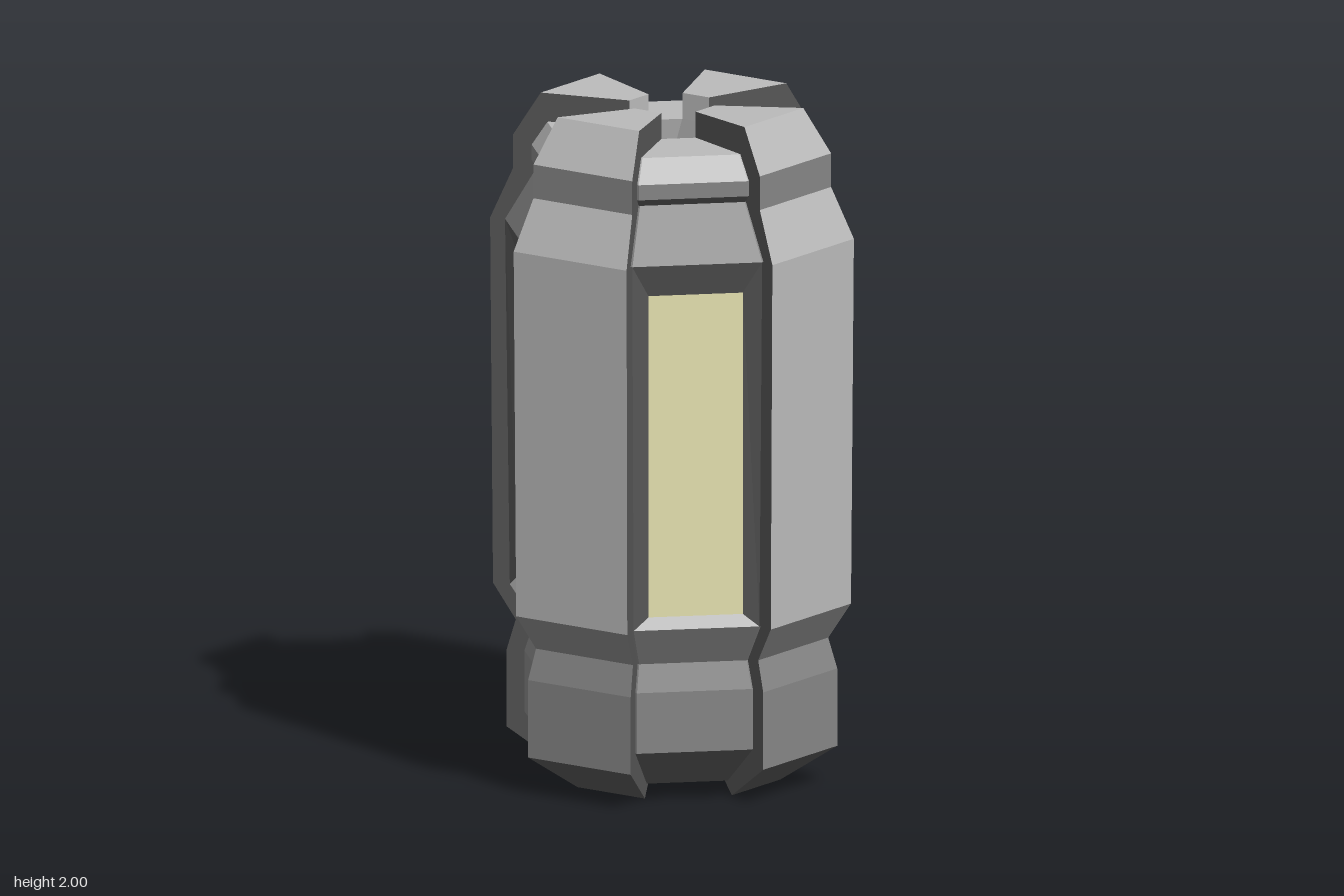
import * as THREE from 'three';

const paint = (color, side = THREE.FrontSide) =>
  new THREE.MeshStandardMaterial({ color, side, flatShading: true });
const light = paint(0xba_ba_ba), mid = paint(0x868686), dark = paint(0x565656);
const darkThin = paint(0x565656, THREE.DoubleSide);
const yellow = paint(0xe6e2b0), red = paint(0xc84a28);
const toCorner = 1 / Math.cos(Math.PI / 8); // face distance to corner radius
const spread = 0.4; // rib half-width per unit of distance from the axis

function addMesh(parent, name, geometry, material) {
  const mesh = new THREE.Mesh(geometry, material);
  mesh.name = name;
  parent.add(mesh);
}

// Eight-sided turned part; profile points are [face distance, y], bottom to top
function addOctagon(parent, name, material, profile) {
  const points = profile.map(([a, y]) => new THREE.Vector2(a * toCorner, y));
  addMesh(parent, name, new THREE.LatheGeometry(points, 8, Math.PI / 8), material);
}

// Flat four-cornered panel, corners counter-clockwise as seen from outside
function addPanel(parent, name, material, [a, b, c, d]) {
  const geometry = new THREE.BufferGeometry();
  geometry.setAttribute('position',
    new THREE.Float32BufferAttribute([a, b, c, a, c, d].flat(), 3));
  geometry.computeVertexNormals();
  addMesh(parent, name, geometry, material);
}

// Raised rib: one panel per profile step [r, y, name, material], plus two side walls
function createRib() {
  const rib = new THREE.Group();
  const profile = [
    [0.26, 0.04],
    [0.3, 0, 'footTip', dark],
    [0.457, 0.11, 'foot', dark],
    [0.457, 0.34, 'lowerPanel', mid],
    [0.432, 0.43, 'lowerBevel', mid],
    [0.495, 0.535, 'waist', mid],
    [0.503, 1.62, 'mainPanel', light],
    [0.44, 1.77, 'shoulder', light],
    [0.44, 1.87, 'collar', mid],
    [0.363, 2, 'upperBevel', light],
    [0.118, 1.992, 'top', light],
    [0.118, 1.905, 'innerEnd', light],
  ];
  for (let i = 1; i < profile.length; i++) {
    const [r0, y0] = profile[i - 1];
    const [r1, y1, name, material] = profile[i];
    const w0 = spread * r0, w1 = spread * r1;
    addPanel(rib, name, material, [[-w0, y0, r0], [w0, y0, r0], [w1, y1, r1], [-w1, y1, r1]]);
  }
  const shape = new THREE.Shape(profile.map(([r, y]) => new THREE.Vector2(r, y)));
  for (const side of [-1, 1]) {
    const wall = new THREE.ShapeGeometry(shape);
    const p = wall.attributes.position;
    for (let i = 0; i < p.count; i++) {
      const r = p.getX(i);
      p.setXYZ(i, side * spread * r, p.getY(i), r);
    }
    wall.computeVertexNormals();
    addMesh(rib, side > 0 ? 'leftWall' : 'rightWall', wall, darkThin);
  }
  return rib;
}

// Window set into a bevelled frame, between two ribs
function createWindow() {
  const group = new THREE.Group();
  const rect = (w0, y0, z0, w1, y1, z1) =>
    [[-w0, y0, z0], [w0, y0, z0], [w1, y1, z1], [-w1, y1, z1]];
  const outer = rect(0.184, 0.535, 0.445, 0.19, 1.62, 0.458);
  const inner = rect(0.138, 0.57, 0.428, 0.138, 1.525, 0.428);
  addPanel(group, 'pane', yellow, inner);
  ['sill', 'leftJamb', 'lintel', 'rightJamb'].forEach((name, i) => {
    const j = (i + 1) % 4;
    addPanel(group, name, i === 0 ? light : dark, [outer[i], outer[j], inner[j], inner[i]]);
  });
  return group;
}

export function createModel() {
  const model = new THREE.Group();
  model.name = 'canister';

  // Recessed base
  addOctagon(model, 'underside', dark, [[0, 0.04], [0.28, 0.04], [0.405, 0.16]]);
  addOctagon(model, 'base', mid, [[0.405, 0.16], [0.405, 0.34], [0.38, 0.42], [0.445, 0.535]]);

  // Recessed shoulder, lid and central funnel
  addOctagon(model, 'shoulder', mid, [[0.458, 1.62], [0.37, 1.78]]);
  addOctagon(model, 'lidUnderside', dark, [[0.37, 1.78], [0.385, 1.8]]);
  addOctagon(model, 'lidRim', mid, [[0.385, 1.8], [0.385, 1.845]]);
  addOctagon(model, 'lid', light, [[0.385, 1.845], [0.342, 1.915], [0.118, 1.915]]);
  addOctagon(model, 'funnel', mid, [[0.118, 1.915], [0.055, 1.87]]);
  addOctagon(model, 'button', red, [[0.055, 1.87], [0, 1.87]]);

  // Four ribs, with a window in each gap between them
  for (let i = 0; i < 4; i++) {
    const rib = createRib();
    rib.name = 'rib' + (i + 1);
    rib.rotation.y = i * Math.PI / 2;
    const window = createWindow();
    window.name = 'window' + (i + 1);
    window.rotation.y = (i + 0.5) * Math.PI / 2;
    model.add(rib, window);
  }
  return model;
}
